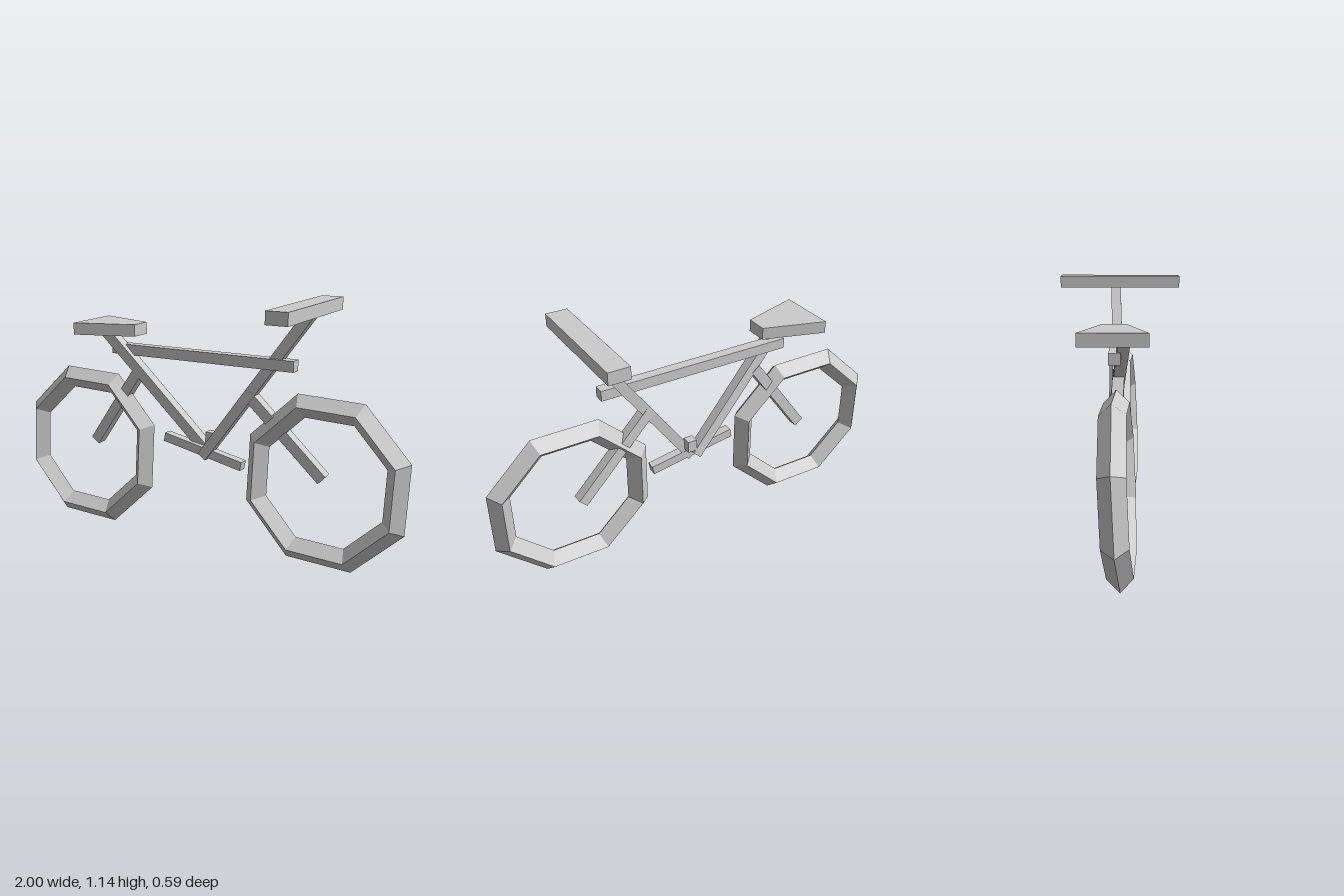
import * as THREE from 'three';

const material = new THREE.MeshStandardMaterial({ color: 0xcccccc, flatShading: true });

export function createModel() {
  const group = new THREE.Group();

  const add = (name, geometry, x = 0, y = 0, z = 0) => {
    const mesh = new THREE.Mesh(geometry, material);
    mesh.name = name;
    mesh.position.set(x, y, z);
    group.add(mesh);
    return mesh;
  };

  // Square bar running between two points, kept as upright in z as possible
  const bar = (name, from, to, width = 0.05) => {
    const a = new THREE.Vector3(...from), b = new THREE.Vector3(...to);
    const along = b.clone().sub(a);
    const length = along.length();
    along.normalize();
    const side = new THREE.Vector3().crossVectors(along, new THREE.Vector3(0, 0, 1)).normalize();
    const depth = new THREE.Vector3().crossVectors(side, along);
    const mesh = add(name, new THREE.BoxGeometry(width, length, width));
    mesh.position.copy(a).add(b).multiplyScalar(0.5);
    mesh.quaternion.setFromRotationMatrix(new THREE.Matrix4().makeBasis(side, along, depth));
  };

  // Eight-sided wheels with a diamond section, leaning slightly
  const wheel = new THREE.TorusGeometry(0.35, 0.054, 4, 8).rotateZ(THREE.MathUtils.degToRad(20.9));
  for (const [name, x] of [['rearWheel', -0.621], ['frontWheel', 0.621]]) {
    add(name, wheel, x, 0.379, 0.021).rotation.set(-0.047, -0.03, 0);
  }

  // Frame
  add('topTube', new THREE.BoxGeometry(0.94, 0.049, 0.05), -0.005, 0.875, 0.002);
  bar('seatTube', [-0.488, 0.958, 0.041], [0.015, 0.43, -0.028]);
  bar('steeringTube', [0.53, 1.115, -0.021], [0.017, 0.408, 0.012], 0.048);
  bar('rearStrut', [-0.333, 0.768, 0.015], [-0.597, 0.4, -0.003]);
  bar('frontFork', [0.232, 0.735, -0.003], [0.598, 0.38, -0.027]);

  // Crank and its small hub block
  bar('crank', [-0.192, 0.472, -0.003], [0.222, 0.393, 0.013], 0.042);
  add('hubBlock', new THREE.BoxGeometry(0.044, 0.056, 0.045), 0.037, 0.49, -0.03);

  // Tapered saddle
  const outline = new THREE.Shape([[-0.615, -0.14], [-0.33, -0.05], [-0.33, 0.052], [-0.615, 0.142]]
    .map(([x, y]) => new THREE.Vector2(x, y)));
  const saddle = new THREE.ExtrudeGeometry(outline, { depth: 0.056, bevelEnabled: false });
  add('saddle', saddle.rotateX(-Math.PI / 2), 0, 0.944, 0);

  // Handlebar
  add('handlebar', new THREE.BoxGeometry(0.1, 0.057, 0.594), 0.505, 1.118, 0.001);

  return group;
}
